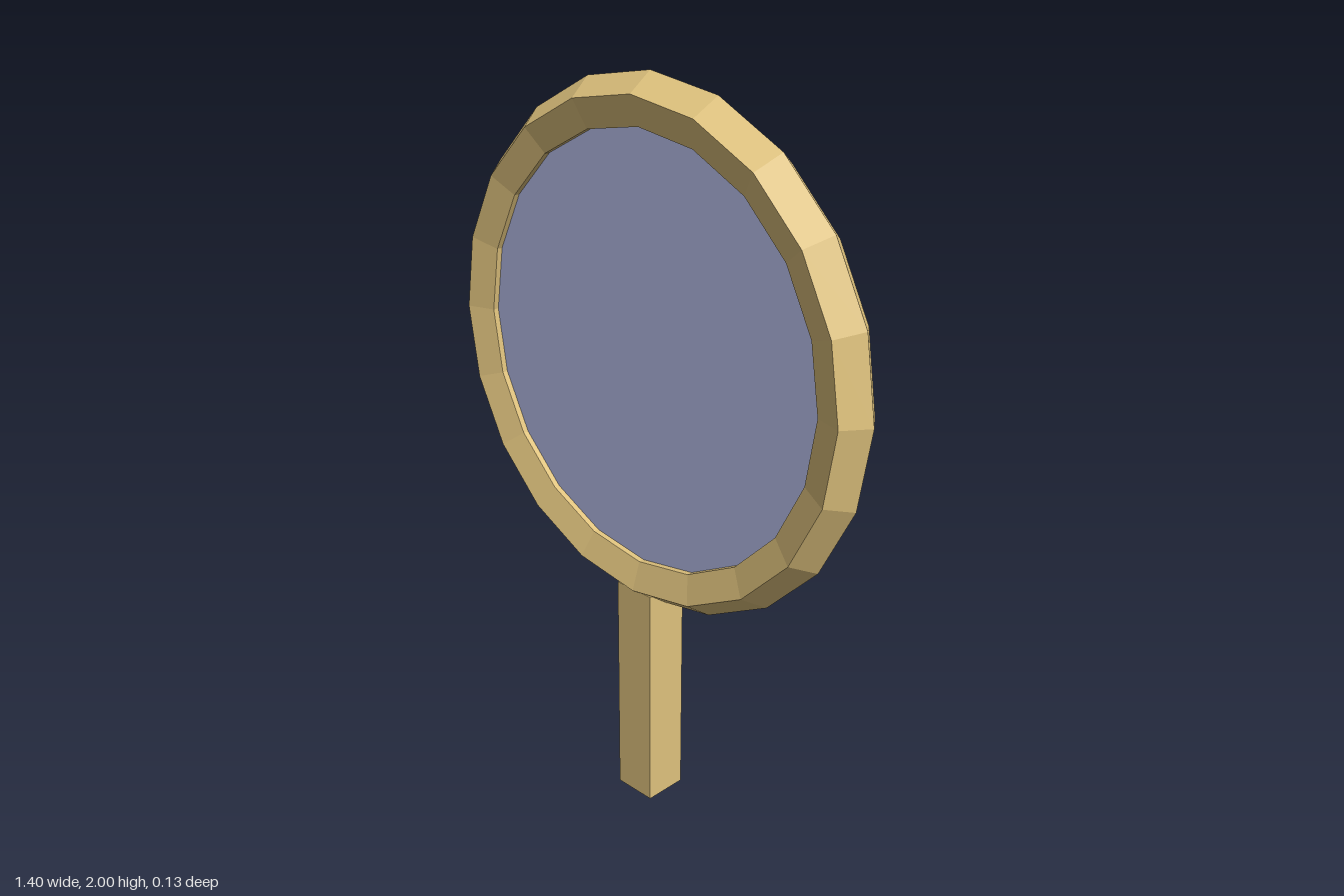
import * as THREE from 'three';

export function createModel() {
  const group = new THREE.Group();
  const gold = new THREE.MeshStandardMaterial({ color: 0xe0c37e });
  gold.name = 'gold';
  const glass = new THREE.MeshStandardMaterial({ color: 0xb0b8e2 });
  glass.name = 'pale blue glass';

  const ringY = 1.3;
  const sides = 20;

  const add = (name, geometry, material, y) => {
    const mesh = new THREE.Mesh(geometry, material);
    mesh.name = name;
    mesh.position.y = y;
    group.add(mesh);
  };

  // flat-sided copy of a geometry, so each facet keeps its own normal
  const faceted = (geometry) => {
    const flat = geometry.toNonIndexed();
    flat.computeVertexNormals();
    return flat;
  };

  // round frame with a five-sided section
  add('frame', faceted(new THREE.TorusGeometry(0.63, 0.07, 5, sides)), gold, ringY);

  // mirror disc, its rim sunk just inside the frame
  const disc = new THREE.CylinderGeometry(0.58, 0.58, 0.05, sides);
  disc.rotateX(Math.PI / 2);
  add('mirrorDisc', faceted(disc), glass, ringY);

  // square handle, running up into the frame
  const handleHeight = 0.65;
  add('handle', new THREE.BoxGeometry(0.124, handleHeight, 0.124), gold, handleHeight / 2);

  return group;
}
